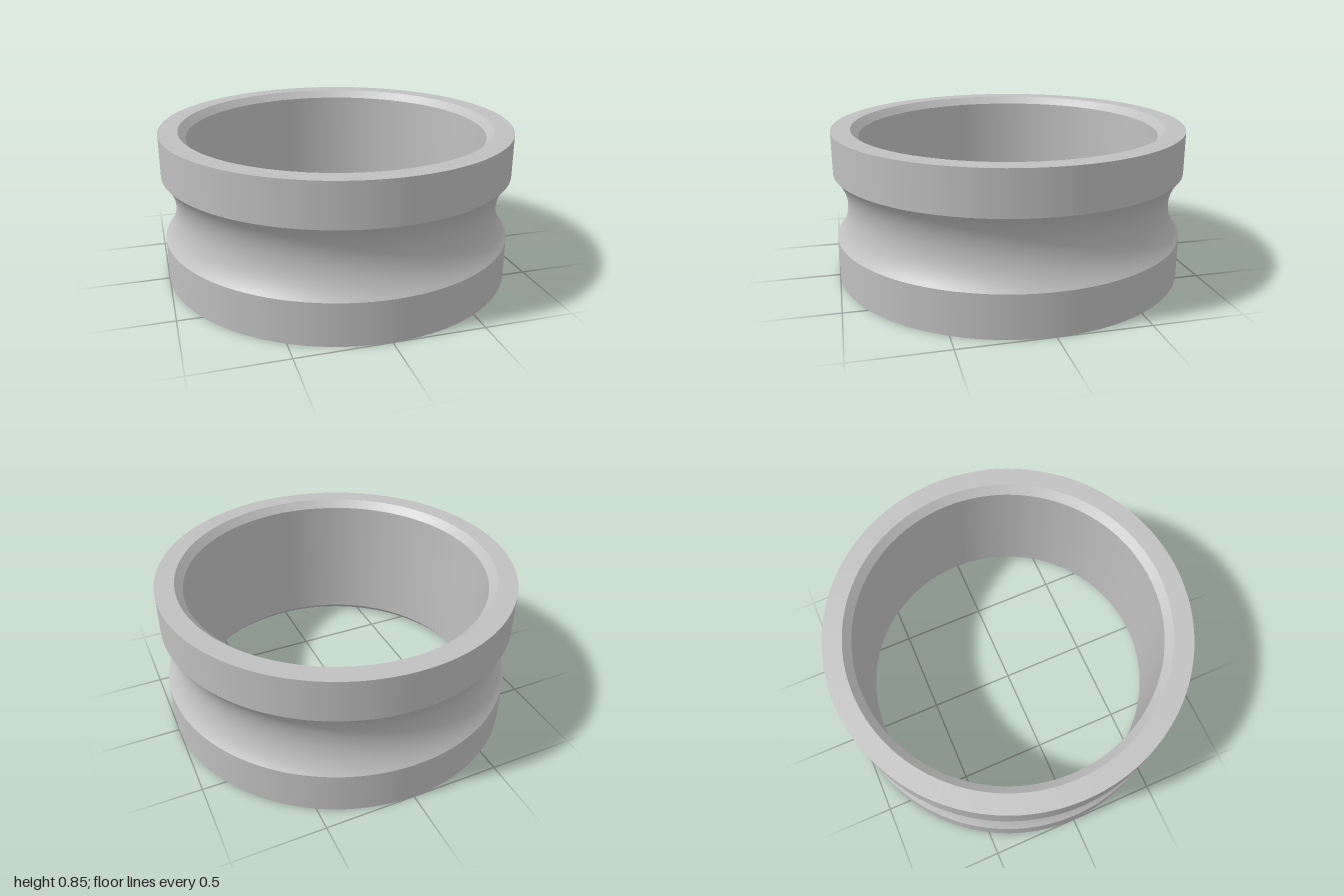
import * as THREE from 'three';

const HEIGHT = 0.85, OUTER = 1, INNER = 0.85, CHAMFER = 0.042;
const GROOVE_LOW = 0.238, GROOVE_HIGH = 0.612, GROOVE_DEPTH = 0.07;

export function createModel() {
  const model = new THREE.Group();
  model.name = 'groovedRing';
  const metal = new THREE.MeshStandardMaterial({ color: 0xc0c0c0 });
  metal.name = 'plain grey';

  // Each surface is its own lathe, so the edges between them stay sharp
  const surface = (name, profile) => {
    const points = profile.map(([r, y]) => new THREE.Vector2(r, y));
    const mesh = new THREE.Mesh(new THREE.LatheGeometry(points, 128), metal);
    mesh.name = name;
    model.add(mesh);
  };

  // Circular arc of the groove, from its lower lip to its upper lip
  const half = (GROOVE_HIGH - GROOVE_LOW) / 2;
  const radius = (half ** 2 + GROOVE_DEPTH ** 2) / (2 * GROOVE_DEPTH);
  const sweep = Math.asin(half / radius);
  const groove = [];
  for (let i = 0; i <= 24; i++) {
    const a = sweep * (i / 12 - 1);
    groove.push([
      OUTER - GROOVE_DEPTH + radius * (1 - Math.cos(a)),
      HEIGHT / 2 + radius * Math.sin(a),
    ]);
  }

  // Profile runs up the outside, over the top and down the bore
  const mouth = INNER + CHAMFER;
  surface('lowerBand', [[OUTER, 0], [OUTER, GROOVE_LOW]]);
  surface('groove', groove);
  surface('upperBand', [[OUTER, GROOVE_HIGH], [OUTER, HEIGHT]]);
  surface('topRim', [[OUTER, HEIGHT], [mouth, HEIGHT]]);
  surface('topChamfer', [[mouth, HEIGHT], [INNER, HEIGHT - CHAMFER]]);
  surface('bore', [[INNER, HEIGHT - CHAMFER], [INNER, CHAMFER]]);
  surface('bottomChamfer', [[INNER, CHAMFER], [mouth, 0]]);
  surface('bottomRim', [[mouth, 0], [OUTER, 0]]);

  return model;
}
